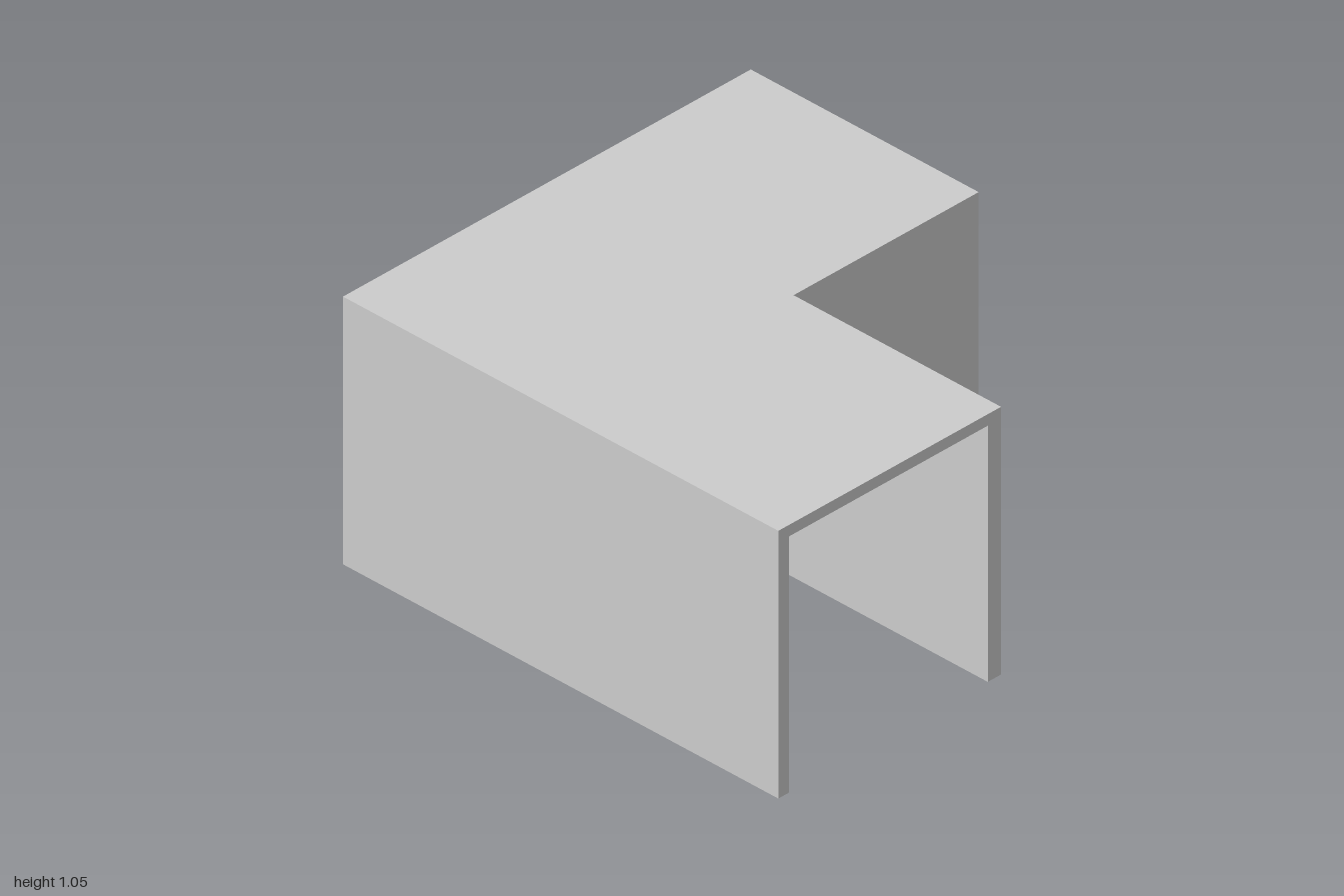
import * as THREE from 'three';

const material = new THREE.MeshStandardMaterial({ color: 0xcccccc });

// Extrudes a floor-plan outline of [x, z] points from y0 up to y1
function slab(name, plan, y0, y1) {
  const shape = new THREE.Shape(plan.map(([x, z]) => new THREE.Vector2(x, -z)));
  const geometry = new THREE.ExtrudeGeometry(shape, { depth: y1 - y0, bevelEnabled: false });
  geometry.rotateX(-Math.PI / 2).translate(0, y0, 0);
  const mesh = new THREE.Mesh(geometry, material);
  mesh.name = name;
  return mesh;
}

export function createModel() {
  const group = new THREE.Group();
  group.name = 'cornerPassage';

  const X = 0.953, Z = 1;               // outer extents
  const innerX = 0.088, innerZ = 0.047; // faces of the notch
  const under = 1.003, height = 1.048;  // roof underside and top

  // L-shaped roof
  group.add(slab('roof', [
    [-X, -Z], [X, -Z], [X, innerZ], [innerX, innerZ], [innerX, Z], [-X, Z],
  ], under, height));

  // Outer wall along the back and the right side
  group.add(slab('outerWall', [
    [-X, -Z], [X, -Z], [X, -0.943], [-0.902, -0.943], [-0.902, Z], [-X, Z],
  ], 0, under));

  // Inner wall around the notch
  group.add(slab('innerWall', [
    [0.026, -0.01], [X, -0.01], [X, innerZ], [innerX, innerZ], [innerX, Z], [0.026, Z],
  ], 0, under));

  return group;
}
